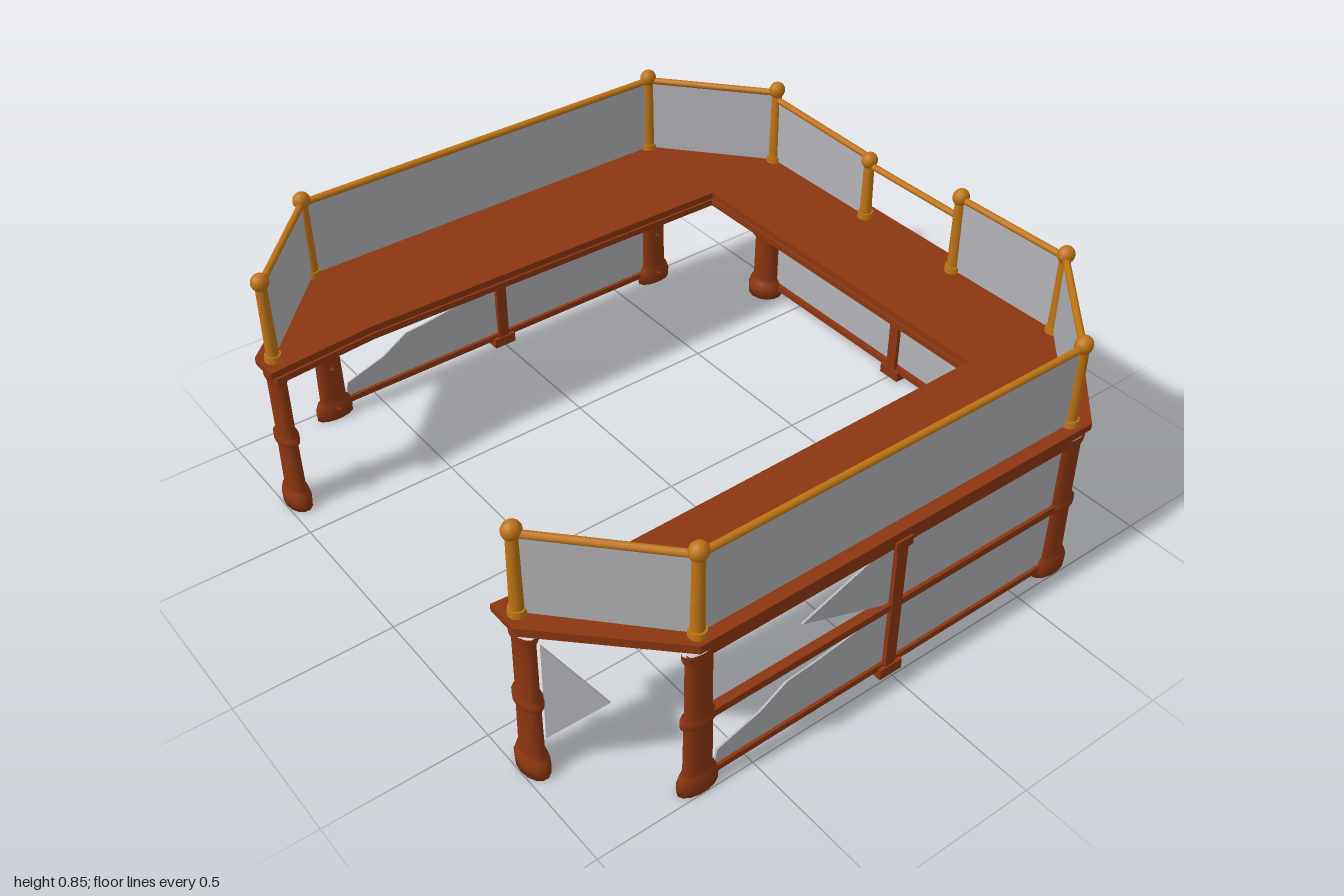
import * as THREE from 'three';

const mat = (name, color, side = THREE.FrontSide) => {
  const m = new THREE.MeshStandardMaterial({ color, side });
  m.name = name;
  return m;
};

export function createModel() {
  const root = new THREE.Group();
  const rust = mat('rust wood', 0x8c3610);
  const gold = mat('golden rail', 0xbf7414);
  const grey = mat('grey panel', 0xb2b2b7, THREE.DoubleSide);

  const add = (name, geo, material, x = 0, y = 0, z = 0) => {
    const mesh = new THREE.Mesh(geo, material);
    mesh.name = name;
    mesh.position.set(x, y, z);
    root.add(mesh);
    return mesh;
  };

  // Round bar between two points
  const bar = (name, a, b, r, material) => {
    const p = new THREE.Vector3(...a), q = new THREE.Vector3(...b);
    const d = q.clone().sub(p);
    const mesh = add(name, new THREE.CylinderGeometry(r, r, d.length(), 10), material);
    mesh.position.copy(p).add(q).multiplyScalar(0.5);
    mesh.quaternion.setFromUnitVectors(new THREE.Vector3(0, 1, 0), d.normalize());
  };

  // Thin upright sheet starting at a and heading to b; outline is [distance, y]
  const sheet = (name, a, b, outline) => {
    const shape = new THREE.Shape(outline.map(p => new THREE.Vector2(...p)));
    const geo = new THREE.ExtrudeGeometry(shape, { depth: 0.006, bevelEnabled: false });
    geo.translate(0, 0, -0.003);
    const mesh = add(name, geo, grey, a[0], 0, a[1]);
    mesh.rotation.y = Math.atan2(a[1] - b[1], b[0] - a[0]);
  };

  // U-shaped deck with chamfered corners, plus a slightly smaller layer below
  const outline = [[-0.69, -1], [0.69, -1], [1, -0.7], [1, 0.68], [0.68, 1], [0.575, 1],
    [0.605, 0.66], [0.59, -0.635], [-0.6, -0.635], [-0.62, 0.66], [-0.59, 1],
    [-0.69, 1], [-1, 0.68], [-1, -0.7]];
  const slab = (name, depth, y, s) => {
    const shape = new THREE.Shape(outline.map(([x, z]) => new THREE.Vector2(x * s, -z * s)));
    const geo = new THREE.ExtrudeGeometry(shape, { depth, bevelEnabled: false });
    add(name, geo.rotateX(-Math.PI / 2), rust, 0, y, 0);
  };
  slab('deck', 0.022, 0.528, 1);
  slab('deckUnderside', 0.02, 0.508, 0.988);

  // Railing posts: x, z, top height
  const posts = [[-0.65, 0.96, 0.82], [-0.975, 0.66, 0.82], [-0.975, -0.65, 0.82],
    [-0.64, -0.94, 0.82], [-0.18, -0.94, 0.76], [0.22, -0.94, 0.815], [0.635, -0.945, 0.82],
    [0.962, -0.65, 0.82], [0.962, 0.66, 0.82], [0.64, 0.962, 0.82]];
  posts.forEach(([x, z, top]) => {
    add('railingPost', new THREE.CylinderGeometry(0.017, 0.02, top - 0.55, 12), gold, x, (top + 0.55) / 2, z);
    add('railingPostFoot', new THREE.CylinderGeometry(0.025, 0.027, 0.02, 12), gold, x, 0.56, z);
    add('railingKnob', new THREE.SphereGeometry(0.028, 14, 10), gold, x, top, z).scale.x = 0.9;
  });

  // Handrails and railing panels, with one open bay at the back
  for (let i = 0; i < posts.length - 1; i++) {
    const [ax, az] = posts[i], [bx, bz] = posts[i + 1];
    let ya = 0.81, yb = 0.81;
    if (i === 3) { ya = 0.785; yb = 0.77; }
    if (i === 4) ya = yb = 0.745;
    bar('handrail', [ax, ya, az], [bx, yb, bz], 0.011, gold);
    if (i === 4) continue;
    const len = Math.hypot(bx - ax, bz - az);
    sheet('railingPanel', [ax, az], [bx, bz], [[0, 0.555], [len, 0.555], [len, yb], [0, ya]]);
  }

  // Turned support post: flared foot, middle collar and capital
  const profile = [[0, 0], [0.064, 0], [0.066, 0.035], [0.056, 0.062], [0.047, 0.07], [0.044, 0.245],
    [0.056, 0.25], [0.056, 0.272], [0.043, 0.278], [0.042, 0.47], [0.052, 0.49], [0.052, 0.51]];
  const supportGeo = new THREE.LatheGeometry(profile.map(p => new THREE.Vector2(...p)), 14);
  for (const s of [-1, 1]) {
    for (const z of [-0.66, 0.66]) add('sideSupport', supportGeo, rust, s * 0.968, 0, z).scale.x = 0.48;
    add('backSupport', supportGeo, rust, s * 0.655, 0, -0.938).scale.z = 0.93;
    add('frontSupport', supportGeo, rust, s * 0.655, 0, 0.96).scale.z = 0.6;
  }

  // Lower walls: mid post, cross rails and top beam
  const lowerFrame = (a, b) => {
    const mx = (a[0] + b[0]) / 2, mz = (a[1] + b[1]) / 2;
    const len = Math.hypot(b[0] - a[0], b[1] - a[1]);
    const angle = Math.atan2(a[1] - b[1], b[0] - a[0]);
    const box = (name, w, h, d, y) => {
      add(name, new THREE.BoxGeometry(w, h, d), rust, mx, y, mz).rotation.y = angle;
    };
    box('topBeam', len, 0.025, 0.03, 0.497);
    box('middleRail', len, 0.024, 0.028, 0.262);
    box('bottomRail', len, 0.02, 0.02, 0.036);
    box('midPost', 0.038, 0.48, 0.034, 0.25);
    box('midPostFoot', 0.08, 0.035, 0.044, 0.018);
    box('midPostCap', 0.06, 0.03, 0.044, 0.49);
  };
  const back = [[-0.63, -0.955], [0.63, -0.955]];
  const leftWall = [[0.972, 0.64], [0.972, -0.64]];
  const rightWall = [[-0.972, 0.64], [-0.972, -0.64]];
  [back, leftWall, rightWall].forEach(w => lowerFrame(...w));

  // Lower sheets; the side walls are torn
  const tornLow = [[0.03, 0.05], [1.26, 0.05], [1.26, 0.25], [0.62, 0.25], [0.37, 0.21],
    [0.27, 0.2], [0.18, 0.145], [0.04, 0.1]];
  const full = (l, y0, y1) => [[0.02, y0], [l, y0], [l, y1], [0.02, y1]];
  sheet('backUpperSheet', ...back, full(1.25, 0.265, 0.5));
  sheet('backLowerSheet', ...back, full(1.25, 0.055, 0.25));
  sheet('rightUpperSheet', ...rightWall, full(1.26, 0.265, 0.5));
  sheet('rightLowerSheet', ...rightWall, tornLow);
  sheet('leftUpperSheet', ...leftWall, [[0.31, 0.385], [0.6, 0.275], [1.26, 0.265], [1.26, 0.5], [0.61, 0.495]]);
  sheet('leftLowerSheet', ...leftWall, tornLow);

  // Torn remnants hanging beside the left corner supports
  sheet('frontShard', [0.69, 0.935], [0.97, 0.66], [[0, 0.12], [0.17, 0.28], [0, 0.46]]);
  sheet('backShard', [0.68, -0.92], [0.97, -0.66], [[0, 0.06], [0.18, 0.07], [0.1, 0.14], [0.18, 0.17],
    [0.1, 0.23], [0.18, 0.26], [0.11, 0.33], [0.18, 0.39], [0.08, 0.47], [0, 0.49]]);

  // Splinters on the side supports
  for (const s of [-1, 1]) for (const z of [-0.66, 0.66]) {
    [[0.04, 0.02], [0.2, 0.015], [0.43, 0.018]].forEach(([y, r]) => {
      add('splinter', new THREE.ConeGeometry(r, 0.06, 4), rust, s * 0.945, y, z).rotation.z = s * 1.3;
    });
  }
  return root;
}
